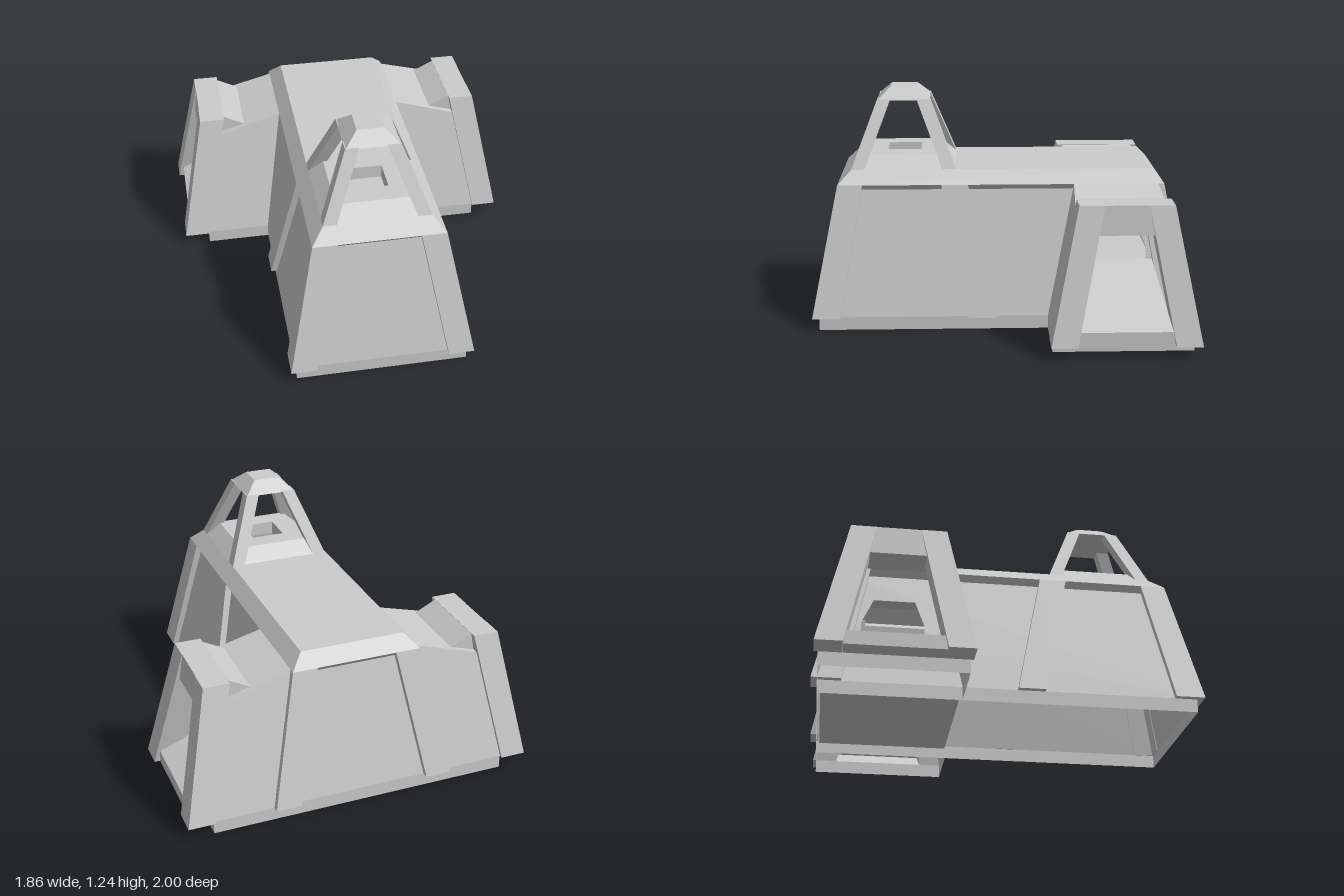
import * as THREE from 'three';

const mat = new THREE.MeshStandardMaterial({ color: 0xcccccc, flatShading: true, side: THREE.DoubleSide });

function add(parent, name, geometry) {
  const mesh = new THREE.Mesh(geometry, mat);
  mesh.name = name;
  parent.add(mesh);
  return mesh;
}

// Geometry from four-cornered faces
function faces(list) {
  const pos = [];
  for (const [a, b, c, d] of list) pos.push(...a, ...b, ...c, ...a, ...c, ...d);
  const g = new THREE.BufferGeometry();
  g.setAttribute('position', new THREE.Float32BufferAttribute(pos, 3));
  g.computeVertexNormals();
  return g;
}

// Rectangular rings [y, x0, x1, z0, z1] joined upward; sides: 0 front, 1 +x, 2 back, 3 -x
function loft(rings, { sides = [0, 1, 2, 3], bottom = true, top = true } = {}) {
  const loops = rings.map(([y, x0, x1, z0, z1]) => [[x0, y, z1], [x1, y, z1], [x1, y, z0], [x0, y, z0]]);
  const list = [];
  for (let r = 0; r + 1 < loops.length; r++) {
    for (const i of sides) {
      const j = (i + 1) % 4;
      list.push([loops[r][i], loops[r][j], loops[r + 1][j], loops[r + 1][i]]);
    }
  }
  if (bottom) list.push([...loops[0]].reverse());
  if (top) list.push(loops[loops.length - 1]);
  return faces(list);
}

const open = { bottom: false, top: false };

function polygon(points) {
  return new THREE.Shape(points.map(([x, y]) => new THREE.Vector2(x, y)));
}

// Leaning side wall of the hall, with the passage opening into the wing
function sideWall() {
  const shape = polygon([[-0.965, 0.07], [0.965, 0.07], [0.83, 0.73], [-0.83, 0.73]]);
  shape.holes.push(polygon([[0.44, 0.36], [0.44, 0.43], [0.49, 0.575], [0.705, 0.575], [0.765, 0.43], [0.765, 0.36]]));
  const g = new THREE.ShapeGeometry(shape);
  const p = g.attributes.position;
  for (let i = 0; i < p.count; i++) {
    const u = p.getX(i), y = p.getY(i);
    p.setXYZ(i, 0.448 - 0.209 * (y - 0.07), y, -u);
  }
  g.computeVertexNormals();
  return g;
}

function buildHall(group) {
  add(group, 'hallPlinth', loft([[0, -0.448, 0.448, -0.965, 0.965], [0.07, -0.448, 0.448, -0.965, 0.965]], open));
  add(group, 'hallEndWalls', loft([[0.07, -0.448, 0.448, -0.965, 0.965], [0.73, -0.31, 0.31, -0.83, 0.83]],
    { ...open, sides: [0, 2] }));
  // Soffit, eave and hipped edge
  add(group, 'roofEdge', loft([
    [0.73, -0.31, 0.31, -0.83, 0.83],
    [0.76, -0.34, 0.34, -0.86, 0.86],
    [0.83, -0.275, 0.275, -0.795, 0.79],
  ], open));
  add(group, 'roofTop', faces([[[-0.275, 0.83, 0.24], [0.275, 0.83, 0.24], [0.275, 0.83, -0.795], [-0.275, 0.83, -0.795]]]));
  add(group, 'rearFloor', faces([[[-0.43, 0.05, -0.25], [0.43, 0.05, -0.25], [0.43, 0.05, -0.95], [-0.43, 0.05, -0.95]]]));
  // Raised passage floor between the wings
  add(group, 'passageFloor', faces([[[-0.4, 0.362, -0.42], [0.4, 0.362, -0.42], [0.4, 0.362, -0.795], [-0.4, 0.362, -0.795]]]));
}

function buildTower(group) {
  const tower = new THREE.Group();
  tower.name = 'tower';
  tower.position.z = 0.515;
  group.add(tower);
  // Base with a square well in its top
  add(tower, 'towerBase', loft([
    [0.83, -0.275, 0.275, -0.275, 0.275],
    [0.9, -0.2, 0.2, -0.2, 0.2],
    [0.9, -0.09, 0.09, -0.09, 0.09],
    [0.83, -0.09, 0.09, -0.09, 0.09],
  ], open));
  for (const sx of [-1, 1]) {
    for (const sz of [-1, 1]) {
      const leg = add(tower, 'towerLeg', loft([
        [0.83, 0.205, 0.275, 0.205, 0.275],
        [1.18, 0.07, 0.14, 0.07, 0.14],
      ]));
      leg.scale.set(sx, 1, sz);
    }
  }
  add(tower, 'towerCap', loft([[1.175, -0.14, 0.14, -0.14, 0.14], [1.24, -0.07, 0.07, -0.07, 0.07]]));
}

// Everything on one flank, built on +x and mirrored
function buildFlank(sign) {
  const flank = new THREE.Group();
  flank.name = sign > 0 ? 'leftFlank' : 'rightFlank';
  flank.scale.x = sign;
  add(flank, 'hallSideWall', sideWall());

  // Leaning corner buttresses, L-shaped around the hall walls
  for (const s of [-1, 1]) {
    const corner = new THREE.Group();
    corner.name = 'cornerButtress';
    corner.scale.z = s;
    flank.add(corner);
    add(corner, 'buttressEndSlab', loft([[0.07, 0.345, 0.48, 0.96, 1], [0.76, 0.21, 0.34, 0.82, 0.86]]));
    add(corner, 'buttressSideSlab', loft([[0.07, 0.443, 0.48, 0.85, 0.96], [0.76, 0.3, 0.34, 0.73, 0.82]]));
  }
  add(flank, 'middleButtress', loft([[0.07, 0.443, 0.48, 0.035, 0.175], [0.76, 0.3, 0.34, 0.175, 0.315]]));

  // Wing shell, open below
  add(flank, 'wingPlinth', loft([[0, 0.448, 0.795, -0.965, -0.245], [0.07, 0.448, 0.795, -0.965, -0.245]],
    { ...open, sides: [0, 1, 2] }));
  const a = [0.448, 0.07, -0.245], b = [0.82, 0.07, -0.245], c = [0.7, 0.655, -0.365], d = [0.34, 0.76, -0.383];
  const back = ([x, y, z]) => [x, y, -1.2125 - z];
  add(flank, 'wingShell', faces([
    [a, b, c, d],
    [back(b), back(a), back(d), back(c)],
    [d, c, back(c), back(d)],
  ]));

  // Ramp from the gate up to the passage
  const foot = [0.9, 0.14, -0.372], head = [0.39, 0.362, -0.415];
  add(flank, 'ramp', faces([[foot, back(foot), back(head), head]]));

  // Gate at the end of the wing
  for (const s of [-1, 1]) {
    const post = add(flank, 'gatePost', loft([
      [0.07, 0.795, 0.93, 0.245, 0.378],
      [0.76, 0.655, 0.79, 0.11, 0.238],
    ]));
    post.position.z = -0.6075;
    post.scale.z = s;
  }
  add(flank, 'gateLintel', loft([[0.61, 0.69, 0.8, -0.755, -0.46], [0.76, 0.655, 0.788, -0.73, -0.485]]));
  add(flank, 'gateThreshold', loft([[0.07, 0.795, 0.9, -0.85, -0.365], [0.14, 0.88, 0.9, -0.843, -0.372]]));
  // Wedge falling from the gate top to the wing roof
  const g = new THREE.ExtrudeGeometry(polygon([[0.54, 0.7], [0.7, 0.655], [0.66, 0.76]]), { depth: 0.41, bevelEnabled: false });
  add(flank, 'gateBackSlope', g).position.z = -0.8125;
  return flank;
}

export function createModel() {
  const model = new THREE.Group();
  model.name = 'building';
  buildHall(model);
  buildTower(model);
  for (const sign of [1, -1]) model.add(buildFlank(sign));
  return model;
}
